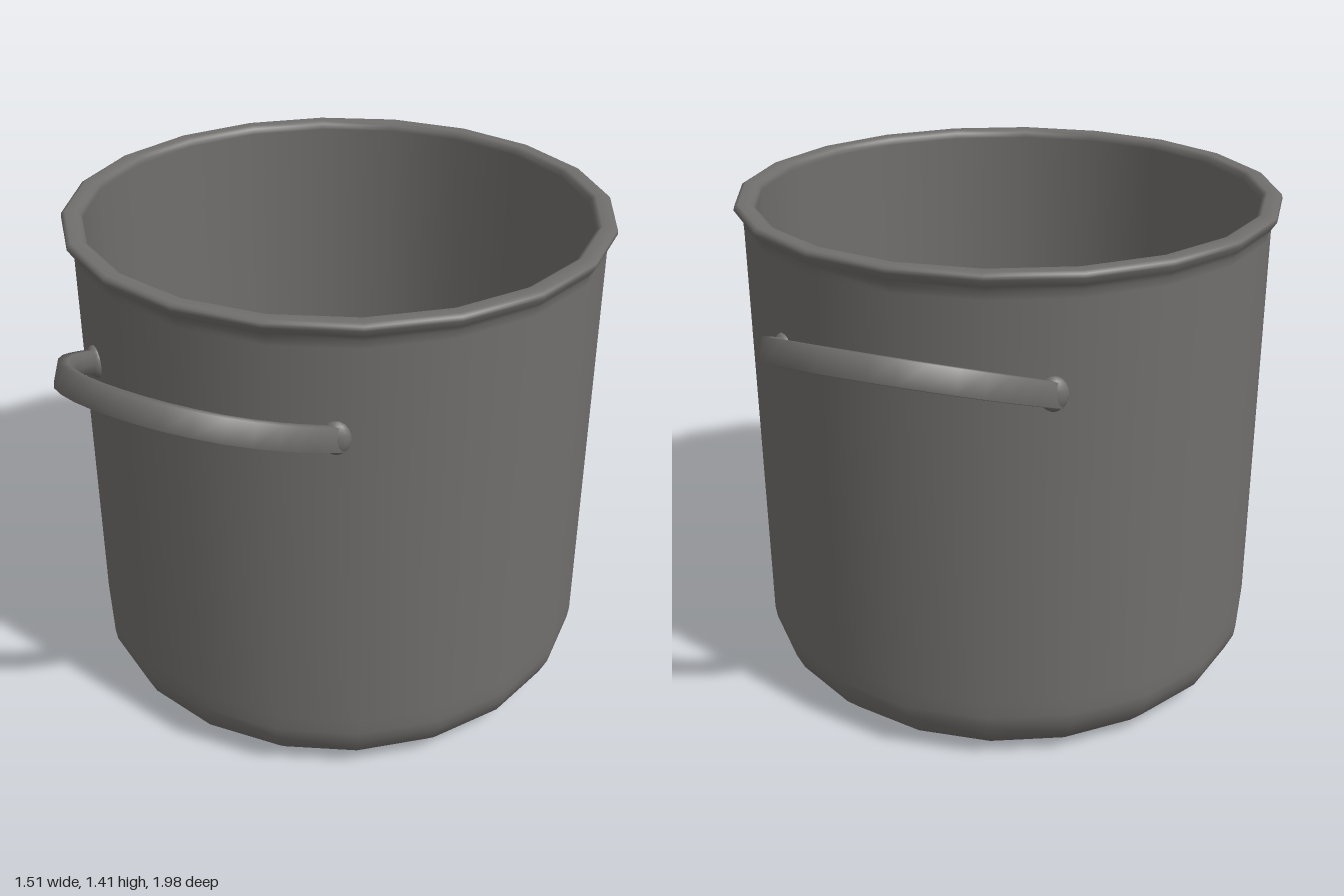
import * as THREE from 'three';

const metal = new THREE.MeshStandardMaterial({ color: 0x716f6d });
metal.name = 'dark grey metal';

// Flattened bar swept along an arched path that tilts up and away from the wall
function handleBar() {
  const half = [[0.385, 0.6], [0.37, 0.645], [0.352, 0.7], [0.315, 0.785], [0.235, 0.882], [0.12, 0.94]];
  const slope = 0.44;
  const tilt = Math.atan(slope);
  const up = new THREE.Vector3(0, Math.cos(tilt), -Math.sin(tilt));
  const toPoint = ([x, z]) => new THREE.Vector3(x, 1.095 + (z - 0.62) * slope, z);
  const mirrored = half.map(([x, z]) => [-x, z]).reverse();
  const curve = new THREE.CatmullRomCurve3([...half, [0, 0.956], ...mirrored].map(toPoint));

  // Cross-section: nearly flat outside, rounded inside (counter-clockwise)
  const section = [[0.5, -0.46], [0.5, 0.46], [0, 0.5], [-0.4, 0.38], [-0.5, 0], [-0.4, -0.38], [0, -0.5]];
  const steps = 24, n = section.length;
  const positions = [], index = [];
  for (let i = 0; i <= steps; i++) {
    const t = i / steps;
    const p = curve.getPoint(t);
    const out = new THREE.Vector3().crossVectors(up, curve.getTangent(t)).normalize();
    const thick = 0.032 + 0.018 * Math.sin(Math.PI * t); // thicker in the middle
    for (const [u, v] of section) {
      const q = p.clone().addScaledVector(out, u * thick).addScaledVector(up, v * 0.066);
      positions.push(q.x, q.y, q.z);
    }
  }
  for (let i = 0; i < steps; i++) {
    for (let j = 0; j < n; j++) {
      const a = i * n + j, b = i * n + (j + 1) % n;
      index.push(a, b, a + n, b, b + n, a + n);
    }
  }
  const geometry = new THREE.BufferGeometry();
  geometry.setAttribute('position', new THREE.Float32BufferAttribute(positions, 3));
  geometry.setIndex(index);
  geometry.computeVertexNormals();
  return geometry;
}

function mesh(name, geometry) {
  const m = new THREE.Mesh(geometry, metal);
  m.name = name;
  return m;
}

export function createModel() {
  const model = new THREE.Group();
  model.name = 'cookingPot';

  // Pot shell: outside from the base up, over the rolled rim, down to the inner floor
  const profile = [
    [0, 0], [0.58, 0], [0.61, 0.003], [0.66, 0.02], [0.705, 0.065], [0.728, 0.115], [0.733, 0.15], [0.733, 0.2],
    [0.733, 1.34], [0.734, 1.362], [0.744, 1.377], [0.757, 1.397], [0.755, 1.408], [0.745, 1.413],
    [0.715, 1.413], [0.703, 1.406], [0.7, 1.39],
    [0.7, 0.2], [0.697, 0.14], [0.675, 0.085], [0.635, 0.045], [0.58, 0.027], [0.55, 0.025], [0, 0.025],
  ].map(([r, y]) => new THREE.Vector2(r, y));
  model.add(mesh('potBody', new THREE.LatheGeometry(profile, 20)));

  // Front and back handles, each with two rounded wall mounts
  const bar = handleBar();
  const ball = new THREE.SphereGeometry(0.045, 14, 10);
  for (const [name, turn] of [['frontHandle', 0], ['backHandle', Math.PI]]) {
    const handle = new THREE.Group();
    handle.name = name;
    handle.rotation.y = turn;
    handle.add(mesh('handleBar', bar));
    for (const side of [1, -1]) {
      const mount = mesh(side > 0 ? 'leftMount' : 'rightMount', ball);
      mount.position.set(side * 0.374, 1.098, 0.62);
      mount.rotation.y = side * 0.54;
      mount.scale.set(0.85, 1.04, 0.6);
      handle.add(mount);
    }
    model.add(handle);
  }
  return model;
}
